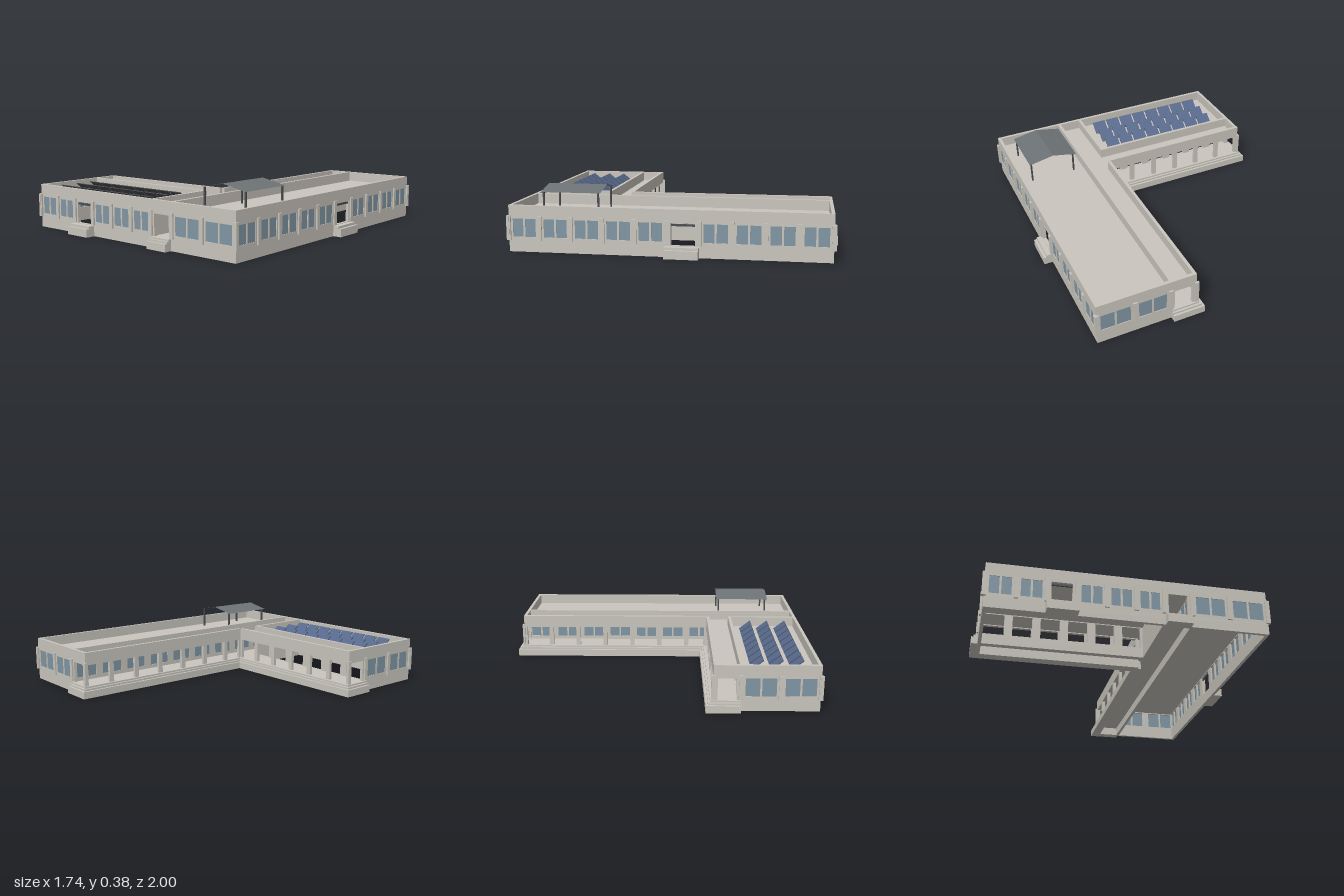
import * as THREE from 'three';

const mat = (name, color, side = THREE.FrontSide) => {
  const m = new THREE.MeshStandardMaterial({ color, side });
  m.name = name;
  return m;
};

export function createModel() {
  const model = new THREE.Group();
  model.name = 'courtyardBuilding';
  const stone = mat('stone', 0xcac6be);
  const glass = mat('glass', 0x8096a4);
  const solar = mat('solarBlue', 0x56688c);
  const dark = mat('darkMetal', 0x4b4d50);
  const sheet = mat('canopyGrey', 0x6d7276, THREE.DoubleSide);

  const group = (name) => {
    const g = new THREE.Group();
    g.name = name;
    model.add(g);
    return g;
  };

  // Box given by its limits on each axis
  const box = (parent, name, m, x0, x1, y0, y1, z0, z1) => {
    const mesh = new THREE.Mesh(new THREE.BoxGeometry(x1 - x0, y1 - y0, z1 - z0), m);
    mesh.position.set((x0 + x1) / 2, (y0 + y1) / 2, (z0 + z1) / 2);
    mesh.name = name;
    parent.add(mesh);
    return mesh;
  };

  const TOP = 0.28, FLOOR = 0.068, HEAD = 0.2, T = 0.02;

  // Wall along x or z. face = outer plane, out = outward sign, stops = bay limits,
  // kinds: w = window pair, d = doorway with lintel, o = open bay
  const wall = (name, axis, face, out, stops, kinds, { pilasters = true, margin = 0.025 } = {}) => {
    const g = group(name);
    const put = (part, m, s0, s1, y0, y1, d0, d1) => {
      // d is the distance inward from the outer face
      const a = face - out * d0, b = face - out * d1;
      const lo = Math.min(a, b), hi = Math.max(a, b);
      if (axis === 'x') box(g, part, m, s0, s1, y0, y1, lo, hi);
      else box(g, part, m, lo, hi, y0, y1, s0, s1);
    };
    const first = stops[0], last = stops[stops.length - 1];
    put('plinth', stone, first, last, 0, FLOOR, 0, T);
    put('parapet', stone, first, last, HEAD, TOP, 0, T);
    stops.forEach((s) => {
      put('pier', stone, Math.max(first, s - margin), Math.min(last, s + margin), FLOOR, HEAD, 0, T);
      if (pilasters) put('pilaster', stone, s - 0.013, s + 0.013, 0.07, 0.218, -0.01, 0.005);
    });
    kinds.forEach((kind, i) => {
      const a = stops[i] + margin, b = stops[i + 1] - margin, c = (a + b) / 2;
      if (kind === 'w') {
        put('sill', stone, a, b, FLOOR, 0.09, 0, T);
        put('mullion', stone, c - 0.006, c + 0.006, 0.09, HEAD, 0, T);
        put('windowPane', glass, a, c - 0.006, 0.09, HEAD, 0.004, 0.009);
        put('windowPane', glass, c + 0.006, b, 0.09, HEAD, 0.004, 0.009);
      } else if (kind === 'd') {
        put('doorLintel', dark, a, b, 0.182, 0.194, 0.006, 0.014);
      }
    });
  };

  // Bay limits
  const frontStops = [-0.83, -0.655, -0.485, -0.315, -0.145, 0.025, 0.19, 0.355, 0.58, 0.815];
  const sideStops = [];
  for (let i = 0; i <= 10; i++) sideStops.push(-0.96 + i * 0.19);
  const all = (n, k) => Array(n).fill(k);

  // Outer walls
  wall('frontWall', 'x', 0.94, 1, frontStops, ['w', 'w', 'd', 'w', 'w', 'w', 'o', 'w', 'w']);
  const sideKinds = all(10, 'w');
  sideKinds[4] = 'd';
  wall('longSideWall', 'z', 0.815, 1, sideStops, sideKinds);
  wall('shortWingEndWall', 'z', -0.83, -1, [0.32, 0.48, 0.71, 0.94], ['o', 'w', 'w']);
  wall('longWingEndWall', 'x', -0.96, -1, [0.19, 0.355, 0.58, 0.815], ['o', 'w', 'w']);

  // Open arcades facing the courtyard
  const plain = { pilasters: false, margin: 0.015 };
  wall('shortWingArcade', 'x', 0.32, -1, frontStops.slice(0, 7), all(6, 'o'), plain);
  const arcadeStops = [...sideStops.slice(0, 7), 0.32];
  wall('longWingArcade', 'z', 0.19, -1, arcadeStops, all(7, 'o'), plain);

  // Walls between the walkways and the rooms
  wall('longWingRoomWall', 'z', 0.34, -1, sideStops, all(10, 'w'), { pilasters: false });
  wall('shortWingRoomWall', 'x', 0.47, -1, frontStops.slice(0, 7), all(6, 'o'), { pilasters: false });
  box(group('partition'), 'partitionWall', stone, 0.18, 0.2, 0, TOP, 0.47, 0.935);

  // Roof and walkway slabs
  const slabs = group('slabs');
  box(slabs, 'longWingRoof', stone, 0.195, 0.81, 0.206, 0.216, -0.955, 0.935);
  box(slabs, 'shortWingRoof', stone, -0.825, 0.195, 0.206, 0.216, 0.325, 0.935);
  box(slabs, 'longWalkwayFloor', stone, 0.195, 0.345, 0.055, 0.067, -0.955, 0.935);
  box(slabs, 'shortWalkwayFloor', stone, -0.825, 0.195, 0.055, 0.067, 0.325, 0.475);

  // Stepped edges along the courtyard and at the walkway ends
  const steps = group('steps');
  [[0, 0.045], [0.014, 0.057], [0.027, 0.068]].forEach(([o, h]) => {
    box(steps, 'shortWingSteps', stone, -0.87 + o, 0.195, 0, h, 0.275 + o, 0.325);
    box(steps, 'shortWingEndSteps', stone, -0.87 + o, -0.825, 0, h, 0.325, 0.48);
    box(steps, 'longWingSteps', stone, 0.15 + o, 0.195, 0, h, -1 + o, 0.325);
    box(steps, 'longWingEndSteps', stone, 0.195, 0.35, 0, h, -1 + o, -0.955);
    box(steps, 'frontWalkwaySteps', stone, 0.195, 0.345, 0, h, 0.935, 0.985 - o);
  });
  // Door landings
  [[0, 0.05], [0.018, 0.065]].forEach(([o, h]) => {
    box(steps, 'frontDoorSteps', stone, -0.49, -0.31, 0, h, 0.935, 1 - o);
    box(steps, 'sideDoorSteps', stone, 0.81, 0.87 - o, 0, h, -0.2, 0);
  });

  // Tilted solar panels, facing the back
  const panels = group('solarPanels');
  const face = new THREE.BoxGeometry(0.095, 0.005, 0.09);
  for (const z of [0.58, 0.695, 0.815]) {
    for (let i = 0; i < 8; i++) {
      const p = new THREE.Mesh(face, [dark, dark, solar, dark, dark, dark]);
      p.name = 'solarPanel';
      p.position.set(-0.682 + i * 0.1067, 0.246, z);
      p.rotation.x = -0.66;
      panels.add(p);
    }
  }

  // Gabled roof canopy on four posts
  const canopy = group('canopy');
  const [x0, x1, z0, z1] = [0.41, 0.74, 0.4, 0.765];
  const xm = (x0 + x1) / 2, eave = 0.35, ridge = 0.382;
  const slope = (xa, ya, xb, yb) => {
    const geo = new THREE.BufferGeometry();
    geo.setAttribute('position', new THREE.Float32BufferAttribute(
      [xa, ya, z0, xa, ya, z1, xb, yb, z1, xb, yb, z0], 3));
    geo.setIndex([0, 1, 2, 0, 2, 3]);
    geo.computeVertexNormals();
    const m = new THREE.Mesh(geo, sheet);
    m.name = 'canopySlope';
    canopy.add(m);
  };
  slope(x0, eave, xm, ridge);
  slope(xm, ridge, x1, eave);
  for (const x of [0.43, 0.727]) {
    for (const z of [0.415, 0.75]) {
      box(canopy, 'canopyPost', dark, x - 0.005, x + 0.005, 0.21, 0.352, z - 0.005, z + 0.005);
    }
  }

  return model;
}
